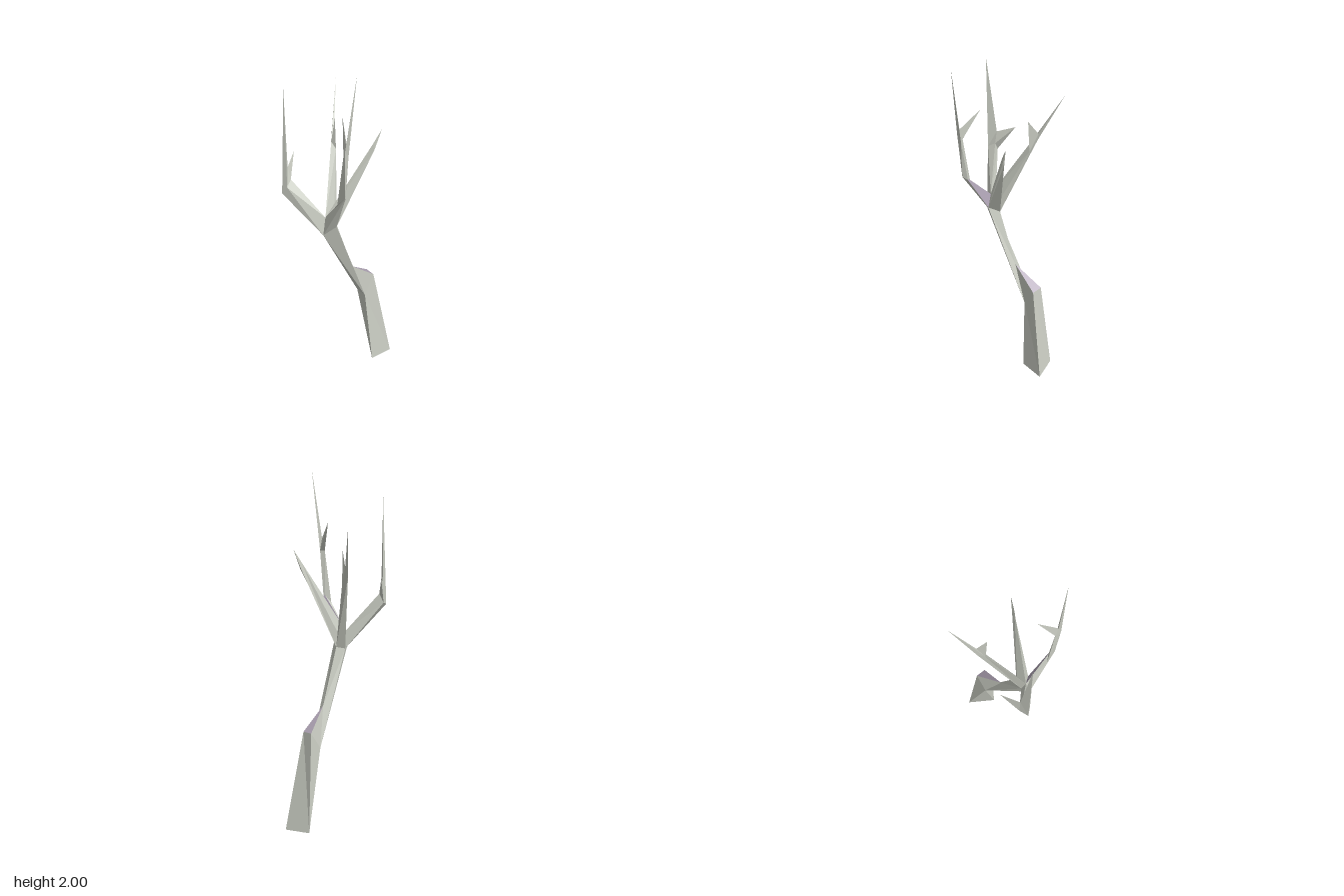
import * as THREE from 'three';

const bark = new THREE.MeshStandardMaterial({ color: 0xcacdc3 });
bark.name = 'greyBark';
const mauve = new THREE.MeshStandardMaterial({ color: 0xada2b3 });
mauve.name = 'mauveBark';

const v = (x, y, z) => new THREE.Vector3(x, y, z);

// Faceted skin through rings of equal length; sides listed in mauveSides ("segment,side") get the second colour.
function loft(name, rings, mauveSides = []) {
  const tris = [[], []];
  const add = (slot, a, b, c) => {
    const area = b.clone().sub(a).cross(c.clone().sub(a)).length();
    if (area > 1e-7) tris[slot].push([a, b, c]);
  };
  const n = rings[0].length;
  for (let s = 0; s < rings.length - 1; s++) {
    for (let i = 0; i < n; i++) {
      const j = (i + 1) % n, lo = rings[s], hi = rings[s + 1];
      const slot = mauveSides.includes(`${s},${i}`) ? 1 : 0;
      add(slot, lo[i], lo[j], hi[i]);
      add(slot, lo[j], hi[j], hi[i]);
    }
  }
  // End caps
  const first = rings[0], last = rings[rings.length - 1];
  for (let i = 1; i < n - 1; i++) {
    add(0, first[0], first[i + 1], first[i]);
    add(0, last[0], last[i], last[i + 1]);
  }
  // Turn every face outward if the rings run the other way round
  const all = [...tris[0], ...tris[1]];
  const origin = first[0];
  let volume = 0;
  for (const t of all) {
    const [a, b, c] = t.map(p => p.clone().sub(origin));
    volume += a.dot(b.cross(c));
  }
  if (volume < 0) all.forEach(t => t.reverse());

  const geometry = new THREE.BufferGeometry().setFromPoints(all.flat());
  geometry.computeVertexNormals();
  geometry.addGroup(0, tris[0].length * 3, 0);
  if (tris[1].length) geometry.addGroup(tris[0].length * 3, tris[1].length * 3, 1);
  const mesh = new THREE.Mesh(geometry, [bark, mauve]);
  mesh.name = name;
  return mesh;
}

// Ring that closes to a point
const tip = (n, x, y, z) => Array(n).fill(v(x, y, z));

export function createModel() {
  const tree = new THREE.Group();
  tree.name = 'bareTree';

  // Fork corners shared by the trunk and the limbs
  const back = v(0, 1.02, 0.072);
  const side = v(0.045, 1.05, 0.12);
  const front = v(-0.003, 1.0, 0.177);
  const left = v(-0.022, 1.0, 0.13);
  const crotch = v(-0.01, 1.1, 0.152);
  const rearCrotch = v(-0.01, 1.09, 0.085);

  // Lower trunk: three-cornered foot up to a four-cornered knee
  const foot = v(-0.066, 0.005, -0.28);
  const kneeBackL = v(-0.035, 0.59, -0.215), kneeBackR = v(0.025, 0.585, -0.208);
  const kneeFront = v(0.022, 0.465, -0.14), kneeLeft = v(-0.043, 0.48, -0.14);
  tree.add(loft('lowerTrunk', [
    [foot, v(0.06, 0, -0.17), v(0.076, 0, -0.317), foot],
    [kneeLeft, kneeFront, kneeBackR, kneeBackL],
  ]));

  // Upper trunk: leans forward from the knee to the fork
  const ridge = v(0.003, 0.7, -0.05);
  tree.add(loft('upperTrunk', [
    [kneeBackL, kneeBackR, kneeFront, kneeLeft],
    [ridge, ridge, kneeFront, kneeLeft],
    [back, side, front, left],
  ], ['0,0']));

  // Front limb on the -x side, bent upright at its elbow
  const elbowIn = v(-0.165, 1.32, 0.26), elbowOut = v(-0.192, 1.27, 0.265);
  const elbowFront = v(-0.15, 1.29, 0.302), elbowLow = v(-0.177, 1.25, 0.316);
  const frontFork = v(-0.184, 1.39, 0.264);
  tree.add(loft('frontLimb', [
    [crotch, crotch, front, left],
    [elbowIn, elbowFront, elbowLow, elbowOut],
    [frontFork, elbowFront, elbowLow, frontFork],
    tip(4, -0.15, 1.86, 0.307),
  ]));
  tree.add(loft('frontTwig', [
    [elbowIn, elbowOut, frontFork],
    tip(3, -0.236, 1.435, 0.168),
  ]));

  // Rear limb on the -x side
  const rearA = v(-0.118, 1.42, -0.04), rearB = v(-0.14, 1.46, -0.025);
  const rearC = v(-0.168, 1.48, -0.055), rearFork = v(-0.158, 1.53, -0.068);
  tree.add(loft('rearLimb', [
    [back, rearCrotch, crotch, left],
    [rearA, rearA, rearB, rearC],
    [rearFork, rearFork, rearB, rearC],
    tip(4, -0.247, 1.77, -0.17),
  ]));
  tree.add(loft('rearTwig', [
    [rearA, rearB, rearFork],
    tip(3, -0.115, 1.61, -0.03),
  ]));

  // Rear limb on the +x side, nearly straight
  const thinTop = v(0.134, 1.52, -0.07);
  tree.add(loft('straightLimb', [
    [back, side, crotch, rearCrotch],
    [v(0.128, 1.48, -0.08), v(0.139, 1.48, -0.075), thinTop, thinTop],
    tip(4, 0.156, 1.6, -0.116),
  ]));

  // Tallest limb on the +x side
  const tallA = v(0.19, 1.54, 0.175), tallB = v(0.165, 1.54, 0.187);
  const tallFront = v(0.191, 1.58, 0.201), tallFork = v(0.185, 1.61, 0.188);
  tree.add(loft('tallLimb', [
    [side, front, crotch, crotch],
    [v(0.158, 1.28, 0.164), v(0.177, 1.3, 0.187), v(0.118, 1.24, 0.186), v(0.148, 1.28, 0.168)],
    [tallA, tallFront, tallB, tallB],
    [tallA, tallFront, tallFork, tallFork],
    tip(4, 0.245, 2, 0.172),
  ], ['0,3']));
  tree.add(loft('tallTwig', [
    [tallA, tallB, tallFork],
    tip(3, 0.093, 1.72, 0.12),
  ]));

  return tree;
}
